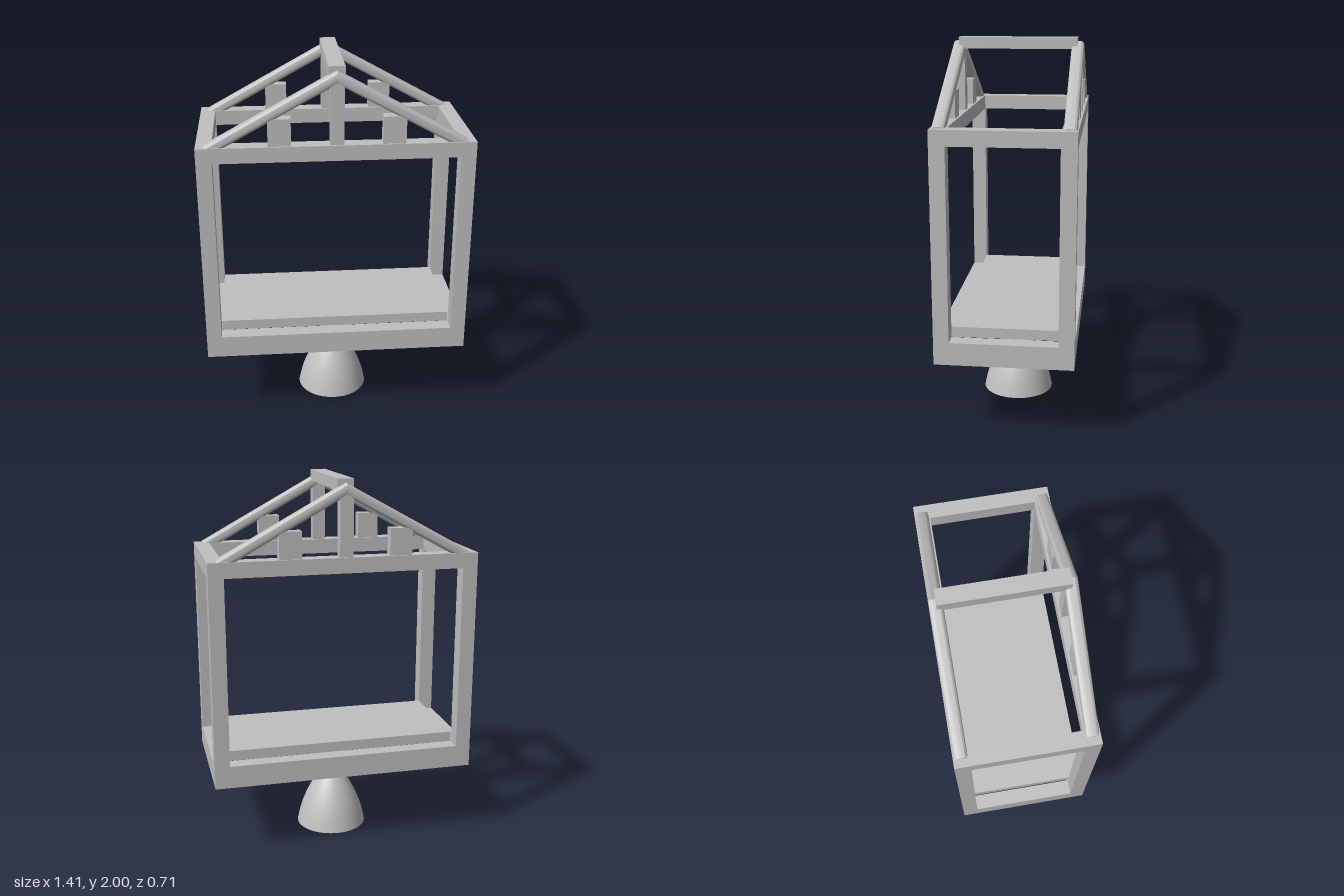
import * as THREE from 'three';
import { toCreasedNormals } from 'three/addons/utils/BufferGeometryUtils.js';

const grey = new THREE.MeshStandardMaterial({ color: 0xc0c0c0 });
grey.name = 'grey';

export function createModel() {
  const model = new THREE.Group();

  function add(name, geometry) {
    const mesh = new THREE.Mesh(geometry, grey);
    mesh.name = name;
    model.add(mesh);
    return mesh;
  }
  // box given by its limits on each axis
  function box(name, x0, x1, y0, y1, z0, z1) {
    add(name, new THREE.BoxGeometry(x1 - x0, y1 - y0, z1 - z0))
      .position.set((x0 + x1) / 2, (y0 + y1) / 2, (z0 + z1) / 2);
  }

  // open box frame: rails at top and bottom, four corner posts
  const X = 0.705, Z = 0.355, T = 0.08;
  for (const [name, y0, y1] of [['bottomRail', 0.415, 0.535], ['topRail', 1.53, 1.61]]) {
    for (const s of [-1, 1]) {
      const zc = s * (Z - T / 2), xc = s * (X - T / 2);
      box(name, -X, X, y0, y1, zc - T / 2, zc + T / 2);
      box(name, xc - T / 2, xc + T / 2, y0, y1, -Z + T, Z - T);
    }
  }
  for (const sx of [-1, 1]) for (const sz of [-1, 1]) {
    const xc = sx * (X - T / 2), zc = sz * (Z - T / 2);
    box('cornerPost', xc - T / 2, xc + T / 2, 0.535, 1.53, zc - T / 2, zc + T / 2);
  }
  box('floor', -0.622, 0.622, 0.535, 0.59, -0.274, 0.274);

  // rounded rafter: a profile swept sideways, then sheared to the roof slope
  function rafterGeometry(side) {
    const w = 0.033, h = 0.032, r = 0.02, length = 0.663;
    const p = new THREE.Shape();
    p.moveTo(-w + r, -h);
    p.lineTo(w - r, -h);
    p.absarc(w - r, -h + r, r, -Math.PI / 2, 0);
    p.absarc(w - r, h - r, r, 0, Math.PI / 2);
    p.absarc(-w + r, h - r, r, Math.PI / 2, Math.PI);
    p.absarc(-w + r, -h + r, r, Math.PI, Math.PI * 1.5);
    const g = new THREE.ExtrudeGeometry(p, { depth: length, bevelEnabled: false, curveSegments: 6 });
    g.rotateY(side * Math.PI / 2);
    const pos = g.attributes.position;
    for (let i = 0; i < pos.count; i++) {
      pos.setY(i, pos.getY(i) + 1.948 - 0.548 * Math.abs(pos.getX(i)));
    }
    g.computeVertexNormals();
    return toCreasedNormals(g, 0.6);
  }

  // roof trusses at front and back
  for (const sz of [-1, 1]) {
    const zc = sz * 0.316;
    for (const sx of [-1, 1]) {
      add('rafter', rafterGeometry(sx)).position.z = zc;
      const xc = sx * 0.288;
      box('roofBlock', xc - 0.058, xc + 0.058, 1.6, 1.75, zc - 0.03, zc + 0.03);
    }
    box('kingPost', -0.035, 0.035, 1.6, 1.95, zc - 0.03, zc + 0.03);
  }
  box('ridgeBeam', -0.042, 0.042, 1.94, 2.0, -0.315, 0.315);

  // hanger under the floor
  box('crossBar', -0.05, 0.05, 0.375, 0.46, -0.25, 0.25);
  const rod = add('hangerRod', new THREE.CylinderGeometry(0.016, 0.016, 0.58, 16));
  rod.rotation.x = Math.PI / 2;
  rod.position.y = 0.418;
  box('stem', -0.043, 0.043, 0.29, 0.376, -0.075, 0.075);

  // hollow bell with a stepped inside
  const profile = [
    [0, 0.28], [0.06, 0.25], [0.11, 0.17], [0.138, 0.06], [0.16, 0.055], [0.172, 0],
    [0.195, 0], [0.182, 0.06], [0.165, 0.115], [0.143, 0.17], [0.117, 0.222],
    [0.088, 0.27], [0.06, 0.308], [0.04, 0.324], [0.02, 0.331], [0, 0.333],
  ].map(([x, y]) => new THREE.Vector2(x, y));
  add('bell', toCreasedNormals(new THREE.LatheGeometry(profile, 48), 0.6));

  return model;
}
